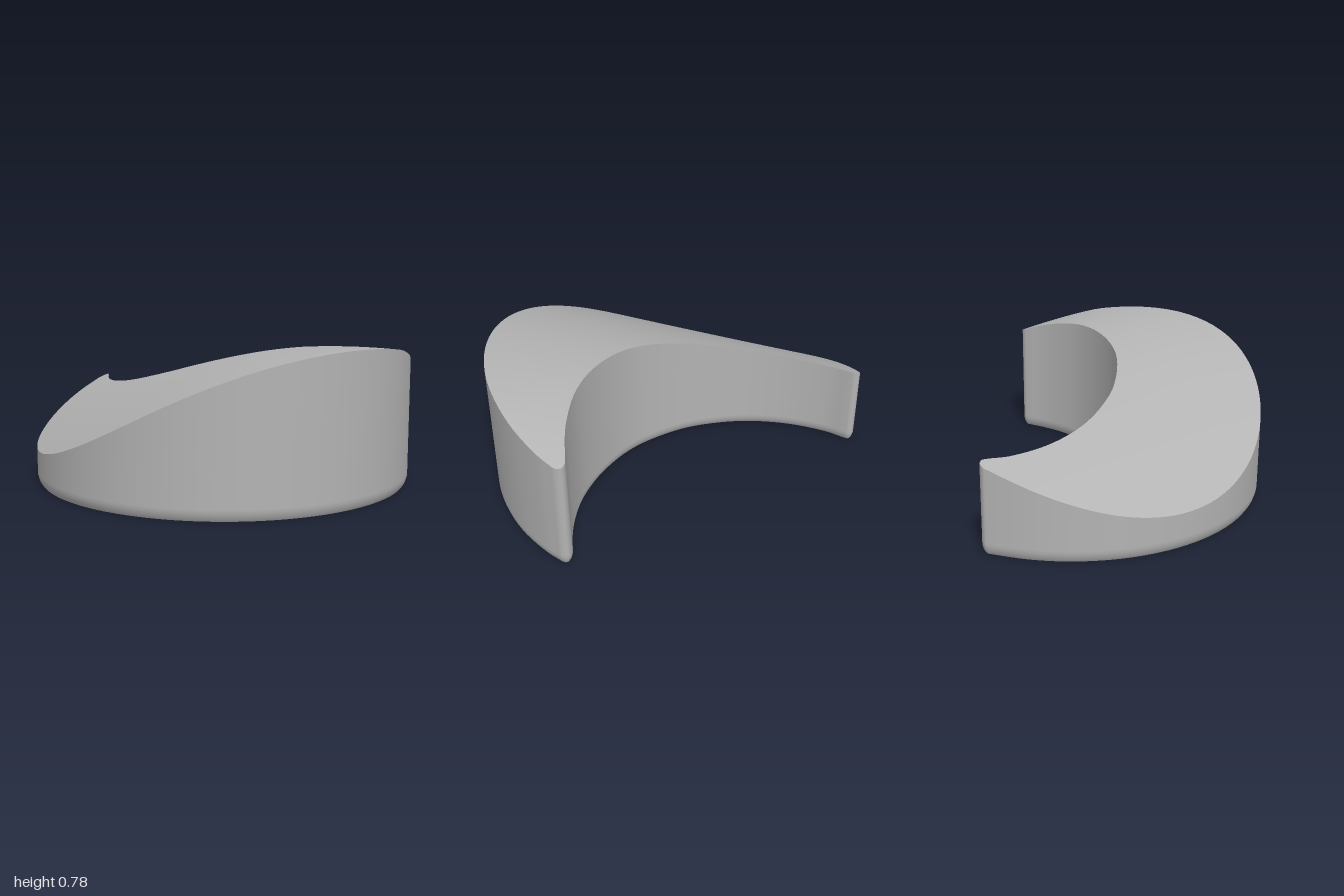
import * as THREE from 'three';

const N = 96; // stations from tip to tip

// Sheet of quads from a function (i, j) -> [x, y, z]; wrap joins the last row to the first
function sheet(rows, cols, fn, wrap = false) {
  const pos = [], idx = [], n = wrap ? rows : rows + 1;
  for (let i = 0; i < n; i++) for (let j = 0; j <= cols; j++) pos.push(...fn(i, j));
  for (let i = 0; i < rows; i++) for (let j = 0; j < cols; j++) {
    const a = i * (cols + 1) + j, b = ((i + 1) % n) * (cols + 1) + j;
    idx.push(a, a + 1, b, b, a + 1, b + 1);
  }
  const g = new THREE.BufferGeometry();
  g.setAttribute('position', new THREE.Float32BufferAttribute(pos, 3));
  g.setIndex(idx);
  g.computeVertexNormals();
  return g;
}

// Height of the twisted, gently domed top
function topHeight(x, z) {
  const p = 0.59 * x + 0.81 * z, q = 0.81 * x - 0.59 * z;
  const r2 = ((x - 0.075) ** 2 + (z + 0.02) ** 2) / 1.04;
  return 0.517 + 0.058 * q + p * (0.218 - 0.295 * q) + 0.145 * (1 - r2)
    - 0.08 * Math.max(-q, 0) * Math.max(p, 0) ** 2;
}

// Crescent outline as a closed loop of [x, z]: outer arc, then inner curve back
function crescent() {
  const curve = pts => new THREE.CatmullRomCurve3(pts.map(([x, z]) => new THREE.Vector3(x, 0, z)));
  const tipA = [0.941, 0.5], tipB = [-0.183, -0.99];
  const arc = [];
  for (let i = 0; i <= 20; i++) {
    const a = 0.67 + (4.4 - 0.67) * i / 20;
    arc.push([0.075 + 1.02 * Math.cos(a), -0.02 + 1.02 * Math.sin(a)]);
  }
  const outer = curve([tipA, [0.937, 0.52], [0.92, 0.548], ...arc, [-0.21, -0.999], tipB]);
  const inner = curve([tipA, [0.932, 0.48], [0.908, 0.469], [0.87, 0.473], [0.78, 0.488],
    [0.66, 0.495], [0.45, 0.475], [0.2, 0.385], [-0.02, 0.235], [-0.2, -0.01], [-0.27, -0.2],
    [-0.3, -0.36], [-0.304, -0.5], [-0.286, -0.66], [-0.233, -0.845], [-0.185, -0.94],
    [-0.175, -0.968], tipB]);
  const loop = [];
  for (let i = 0; i < N; i++) loop.push(outer.getPoint(i / N));
  for (let i = N; i > 0; i--) loop.push(inner.getPoint(i / N));
  return loop.map(v => [v.x, v.z]);
}

// Move the outline inwards
function inset(loop, d) {
  const n = loop.length;
  return loop.map(([x, z], i) => {
    const a = loop[(i + n - 1) % n], b = loop[(i + 1) % n];
    const tx = b[0] - a[0], tz = b[1] - a[1], l = Math.hypot(tx, tz) || 1;
    return [x - d * tz / l, z + d * tx / l];
  });
}

export function createModel() {
  const group = new THREE.Group();
  group.name = 'crescentBlock';
  const grey = new THREE.MeshStandardMaterial({ color: 0xb3b3b3 });
  grey.name = 'grey';
  const add = (name, geometry) => {
    const mesh = new THREE.Mesh(geometry, grey);
    mesh.name = name;
    group.add(mesh);
  };

  const loop = crescent(), foot = inset(loop, 0.018), mid = inset(loop, 0.007);
  const across = (pts, i, t) => {
    const o = pts[i], n = pts[(2 * N - i) % (2 * N)];
    return [o[0] + (n[0] - o[0]) * t, o[1] + (n[1] - o[1]) * t];
  };

  // Side wall with a softened bottom edge
  add('sideWall', sheet(2 * N, 4, (i, j) => {
    const [x, z] = [foot, mid, loop, loop, loop][j][i];
    const top = topHeight(x, z);
    return [x, [0, 0.017, 0.042, 0.06, top][j], z];
  }, true));

  // Sloping top
  add('topFace', sheet(N, 16, (i, j) => {
    const [x, z] = across(loop, i, j / 16);
    return [x, topHeight(x, z), z];
  }));

  // Flat underside
  add('underside', sheet(N, 2, (i, j) => {
    const [x, z] = across(foot, i, 1 - j / 2);
    return [x, 0, z];
  }));

  return group;
}
